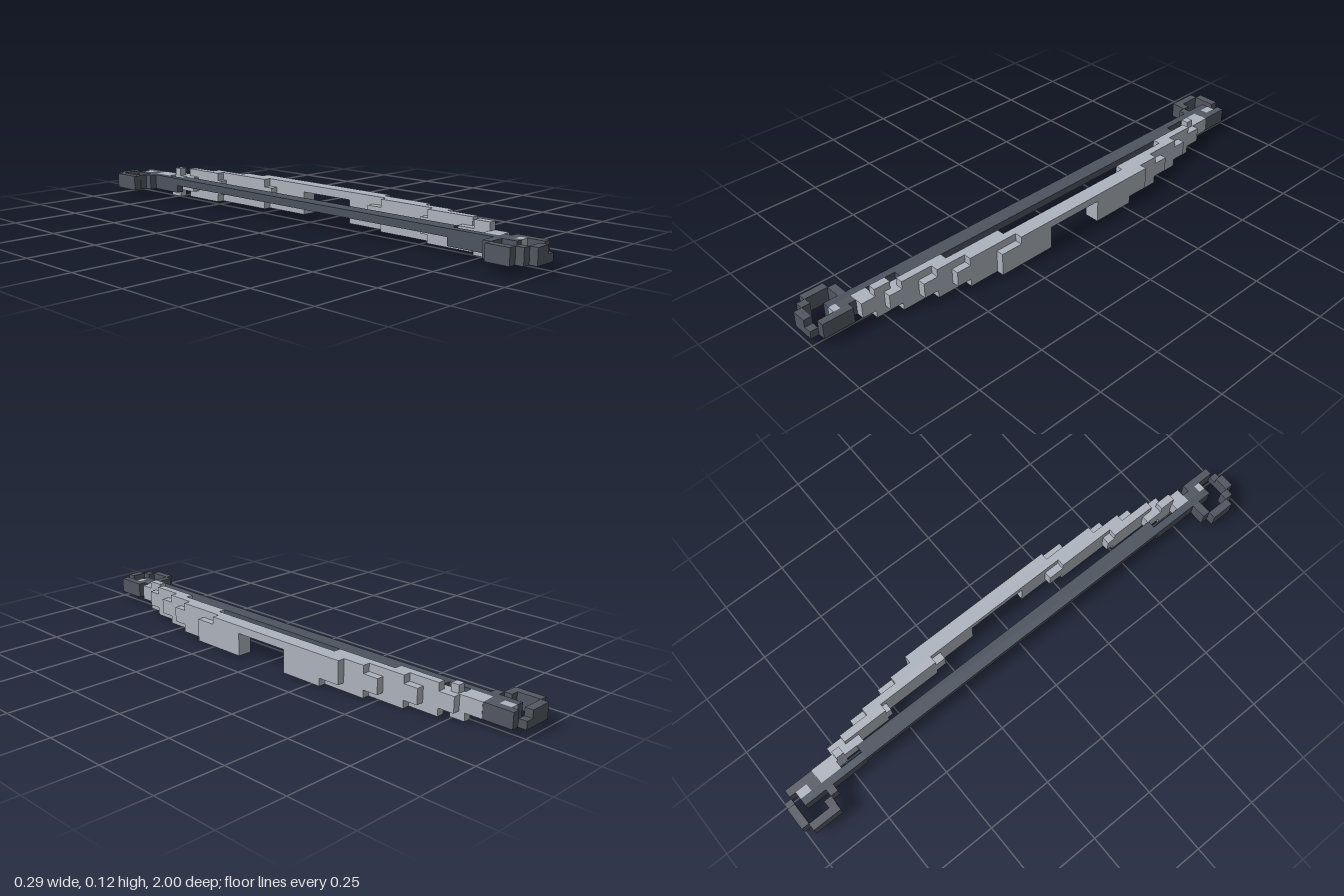
import * as THREE from 'three';

const steel = new THREE.MeshStandardMaterial({ color: 0xaeb4be });
steel.name = 'light steel';
const iron = new THREE.MeshStandardMaterial({ color: 0x535761 });
iron.name = 'dark iron';
const cord = new THREE.MeshStandardMaterial({ color: 0x4c545f });
cord.name = 'dark cord';

// Heights of the stacked bands
const Y0 = 0, Y1 = 0.029, YM = 0.058, Y2 = 0.086, Y3 = 0.115;

export function createModel() {
  const model = new THREE.Group();

  function part(name) {
    const g = new THREE.Group();
    g.name = name;
    model.add(g);
    return g;
  }
  // Block between two corners
  function block(parent, name, mat, x0, x1, y0, y1, z0, z1) {
    const m = new THREE.Mesh(new THREE.BoxGeometry(x1 - x0, y1 - y0, z1 - z0), mat);
    m.position.set((x0 + x1) / 2, (y0 + y1) / 2, (z0 + z1) / 2);
    m.name = name;
    parent.add(m);
  }

  // Straight bar: thin in the middle, deeper and narrower at the ends
  const bar = part('bar');
  block(bar, 'barMiddle', cord, -0.057, 0, YM, Y2, -0.69, 0.655);
  block(bar, 'barBackEnd', cord, -0.057, -0.029, Y1, Y2, -0.945, -0.69);
  block(bar, 'barFrontEnd', cord, -0.057, -0.029, Y1, Y2, 0.655, 0.91);

  // Stepped rings at both ends: [x0, x1, z0, z1]
  const rings = {
    frontRing: [
      [-0.143, -0.114, 0.855, 0.943], [-0.114, -0.057, 0.827, 0.857],
      [-0.114, -0.085, 0.94, 0.972], [-0.085, -0.029, 0.97, 1],
      [0, 0.028, 0.855, 0.97], [-0.029, 0, 0.827, 0.885],
    ],
    backRing: [
      [-0.143, -0.114, -0.972, -0.86], [-0.114, -0.085, -0.888, -0.858],
      [-0.085, -0.057, -0.86, -0.83], [-0.114, -0.029, -1, -0.97],
      [0, 0.028, -0.97, -0.86], [-0.029, 0, -0.9, -0.858],
    ],
  };
  for (const [name, cells] of Object.entries(rings)) {
    const ring = part(name);
    for (const [x0, x1, z0, z1] of cells) block(ring, 'ringStep', iron, x0, x1, Y1, Y2, z0, z1);
    const z = name === 'frontRing' ? 0.985 : -0.985;
    block(ring, 'ringLowStep', iron, -0.029, 0, Y1, YM, z - 0.015, z + 0.015);
  }

  // Bowed limb, one layer per step of x; bands are [y0, y1, z0, z1]
  const layers = [
    { x: 0.113, bands: [
      [Y2, Y3, -0.37, 0.255], [Y1, Y2, 0.115, 0.34], [Y0, Y1, 0.115, 0.34],
      [Y1, Y2, -0.37, -0.115], [Y0, Y1, -0.285, -0.115]] },
    { x: 0.085, bands: [
      [Y2, Y3, -0.455, 0.455], [Y1, Y2, 0.115, 0.51], [Y0, Y1, 0.115, 0.455],
      [Y1, Y2, -0.515, -0.115], [Y0, Y1, -0.455, -0.115]] },
    { x: 0.057, bands: [
      [Y2, Y3, 0.285, 0.57], [Y1, Y2, 0.225, 0.625], [Y0, Y1, 0.285, 0.57],
      [Y2, Y3, -0.6, -0.3], [Y1, Y2, -0.655, -0.26], [Y0, Y1, -0.6, -0.3]] },
    { x: 0.028, bands: [
      [Y2, Y3, 0.51, 0.69], [Y1, Y2, 0.48, 0.74], [Y0, Y1, 0.51, 0.69],
      [Y2, Y3, -0.715, -0.54], [Y1, Y2, -0.775, -0.52], [Y0, Y1, -0.715, -0.54]] },
    { x: 0, bands: [
      [Y2, Y3, 0.715, 0.775], [Y1, Y2, 0.65, 0.827], [Y0, Y1, 0.715, 0.775],
      [Y2, Y3, -0.77, -0.74], [Y1, Y2, -0.86, -0.66], [Y0, Y1, -0.797, -0.74]] },
    { x: -0.029, bands: [
      [Y1, Y2, 0.77, 0.827], [Y1, Y2, 0.885, 0.91],
      [Y1, Y2, -0.858, -0.775], [Y1, Y2, -0.945, -0.9]] },
  ];
  const limb = part('limb');
  for (const { x, bands } of layers)
    for (const [y0, y1, z0, z1] of bands) block(limb, 'limbStep', steel, x, x + 0.029, y0, y1, z0, z1);

  return model;
}
